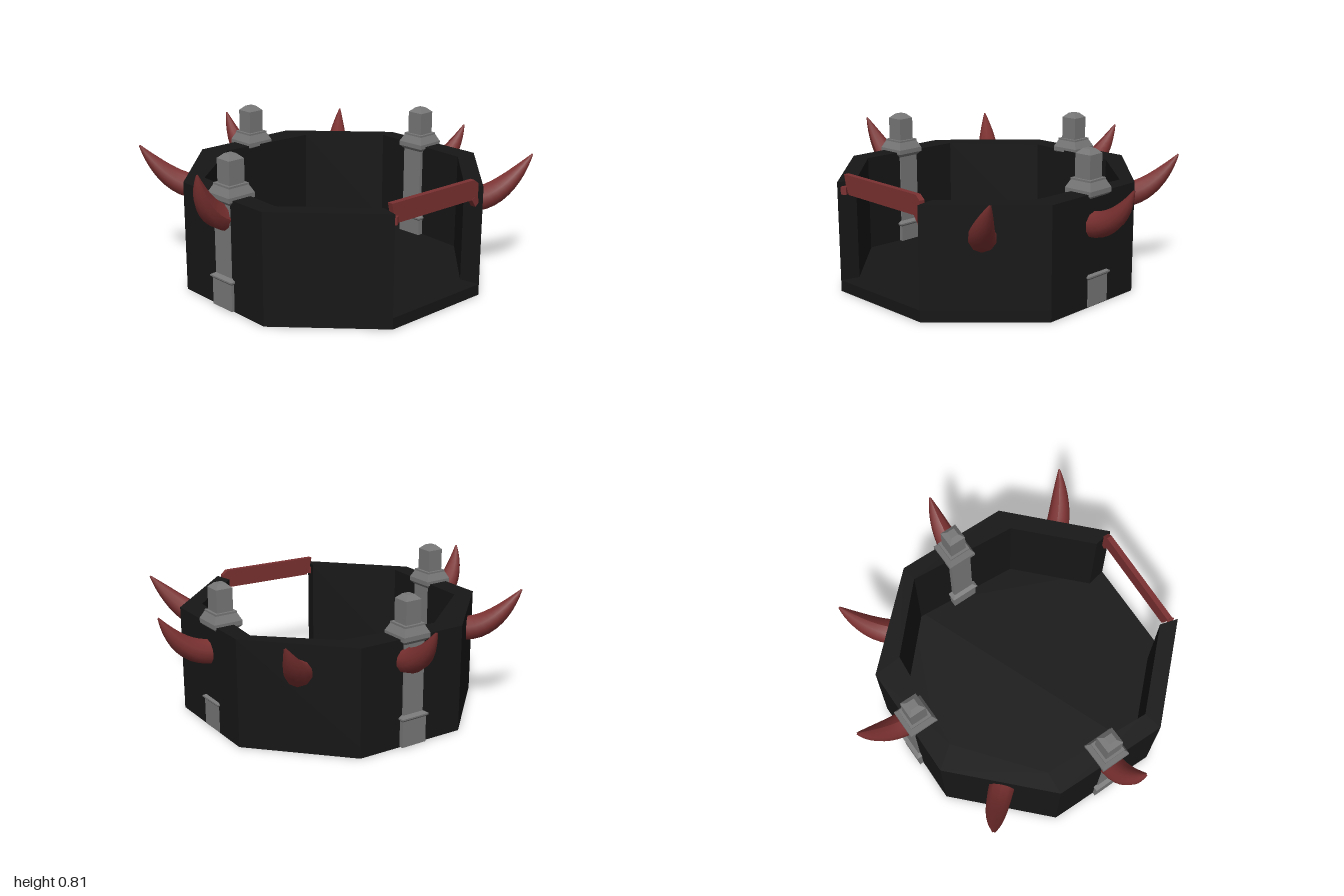
import * as THREE from 'three';

const dark = new THREE.MeshStandardMaterial({ color: 0x161616, flatShading: true });
const red = new THREE.MeshStandardMaterial({ color: 0x7a3030 });
const grey = new THREE.MeshStandardMaterial({ color: 0x777777, flatShading: true });

// Ring corners as [x, z], running from one side of the doorway round to the other
const outer = [[0.91, -0.26], [0.47, -0.73], [-0.17, -0.74], [-0.64, -0.3],
  [-0.65, 0.34], [-0.21, 0.8], [0.43, 0.815], [0.89, 0.38]];
const inner = [[0.8, -0.24], [0.46, -0.6], [-0.16, -0.65], [-0.48, -0.31],
  [-0.53, 0.25], [-0.2, 0.67], [0.41, 0.71], [0.79, 0.35]];

function addMesh(parent, name, geometry, material) {
  const mesh = new THREE.Mesh(geometry, material);
  mesh.name = name;
  parent.add(mesh);
  return mesh;
}

// Upright prism over a plan outline
function prism(points, y0, y1) {
  const shape = new THREE.Shape(points.map(([x, z]) => new THREE.Vector2(x, -z)));
  return new THREE.ExtrudeGeometry(shape, { depth: y1 - y0, bevelEnabled: false })
    .rotateX(-Math.PI / 2).translate(0, y0, 0);
}

// Square stepped pillar: plinth, shaft, flared cap and pointed finial
function pillarGeometry() {
  const profile = [[0, 0.005], [0.076, 0.005], [0.076, 0.15], [0.085, 0.16], [0.085, 0.168],
    [0.063, 0.18], [0.063, 0.565], [0.083, 0.585], [0.083, 0.61], [0.063, 0.65],
    [0.063, 0.66], [0.048, 0.66], [0.048, 0.785], [0.022, 0.81], [0, 0.81]];
  const points = profile.map(([half, y]) => new THREE.Vector2(half * Math.SQRT2, y));
  return new THREE.LatheGeometry(points, 4, Math.PI / 4);
}

// Upward-curving horn, tapering to a blunt tip
function hornGeometry(base, bend, tip) {
  const curve = new THREE.QuadraticBezierCurve3(
    new THREE.Vector3(...base), new THREE.Vector3(...bend), new THREE.Vector3(...tip));
  const rings = 10, sides = 10;
  const geometry = new THREE.TubeGeometry(curve, rings, 1, sides, false);
  const pos = geometry.attributes.position;
  const v = new THREE.Vector3();
  for (let i = 0; i < pos.count; i++) {
    const t = Math.floor(i / (sides + 1)) / rings;
    const centre = curve.getPointAt(t);
    const radius = 0.004 + 0.066 * (1 - Math.pow(t, 2));
    v.fromBufferAttribute(pos, i).sub(centre).multiplyScalar(radius).add(centre);
    pos.setXYZ(i, v.x, v.y, v.z);
  }
  geometry.computeVertexNormals();
  return geometry;
}

export function createModel() {
  const model = new THREE.Group();
  model.name = 'arena';

  // Floor slab and the wall ring, open on one side
  addMesh(model, 'floor', prism(outer, 0, 0.06), dark);
  addMesh(model, 'wall', prism([...outer, ...[...inner].reverse()], 0.06, 0.595), dark);

  // Pillars set into three walls
  const pillar = pillarGeometry();
  for (const [name, x, z] of [['frontPillar', 0.123, 0.75], ['backPillar', 0.12, -0.665],
    ['sidePillar', -0.593, 0.022]]) {
    addMesh(model, name, pillar, grey).position.set(x, 0, z);
  }

  // Horns: base inside the wall, bend, tip
  const horns = [
    ['frontHorn', [0.122, 0.48, 0.77], [0.11, 0.52, 0.93], [0.175, 0.762, 0.995]],
    ['backHorn', [0.15, 0.43, -0.69], [0.16, 0.43, -0.88], [0.18, 0.66, -0.996]],
    ['sideHorn', [-0.6, 0.475, -0.015], [-0.77, 0.47, -0.02], [-0.905, 0.705, -0.045]],
    ['frontSideHorn', [-0.41, 0.475, 0.56], [-0.53, 0.48, 0.66], [-0.62, 0.71, 0.785]],
    ['backSideHorn', [-0.39, 0.44, -0.5], [-0.52, 0.45, -0.6], [-0.6, 0.67, -0.715]],
    ['doorSideHorn', [0.69, 0.43, -0.48], [0.8, 0.45, -0.56], [0.88, 0.675, -0.715]],
  ];
  for (const [name, base, bend, tip] of horns) {
    addMesh(model, name, hornGeometry(base, bend, tip), red);
  }

  // Lintel beam over the doorway, with chipped ends
  const outline = [[0.365, 0.635], [-0.22, 0.635], [-0.25, 0.61], [-0.25, 0.53], [0.33, 0.53], [0.35, 0.57]];
  const beam = new THREE.Shape(outline.map(([z, y]) => new THREE.Vector2(z, y)));
  addMesh(model, 'lintel', new THREE.ExtrudeGeometry(beam, { depth: 0.03, bevelEnabled: false })
    .rotateY(-Math.PI / 2 - 0.05).translate(0.873, 0, 0), red);

  // Brackets carrying the lintel
  const frontBracket = addMesh(model, 'frontBracket', new THREE.BoxGeometry(0.11, 0.04, 0.03), red);
  frontBracket.position.set(0.83, 0.552, 0.375);
  frontBracket.rotation.y = 0.55;
  const backBracket = addMesh(model, 'backBracket', new THREE.BoxGeometry(0.03, 0.05, 0.04), red);
  backBracket.position.set(0.87, 0.52, -0.235);
  backBracket.rotation.x = 0.6;

  return model;
}
